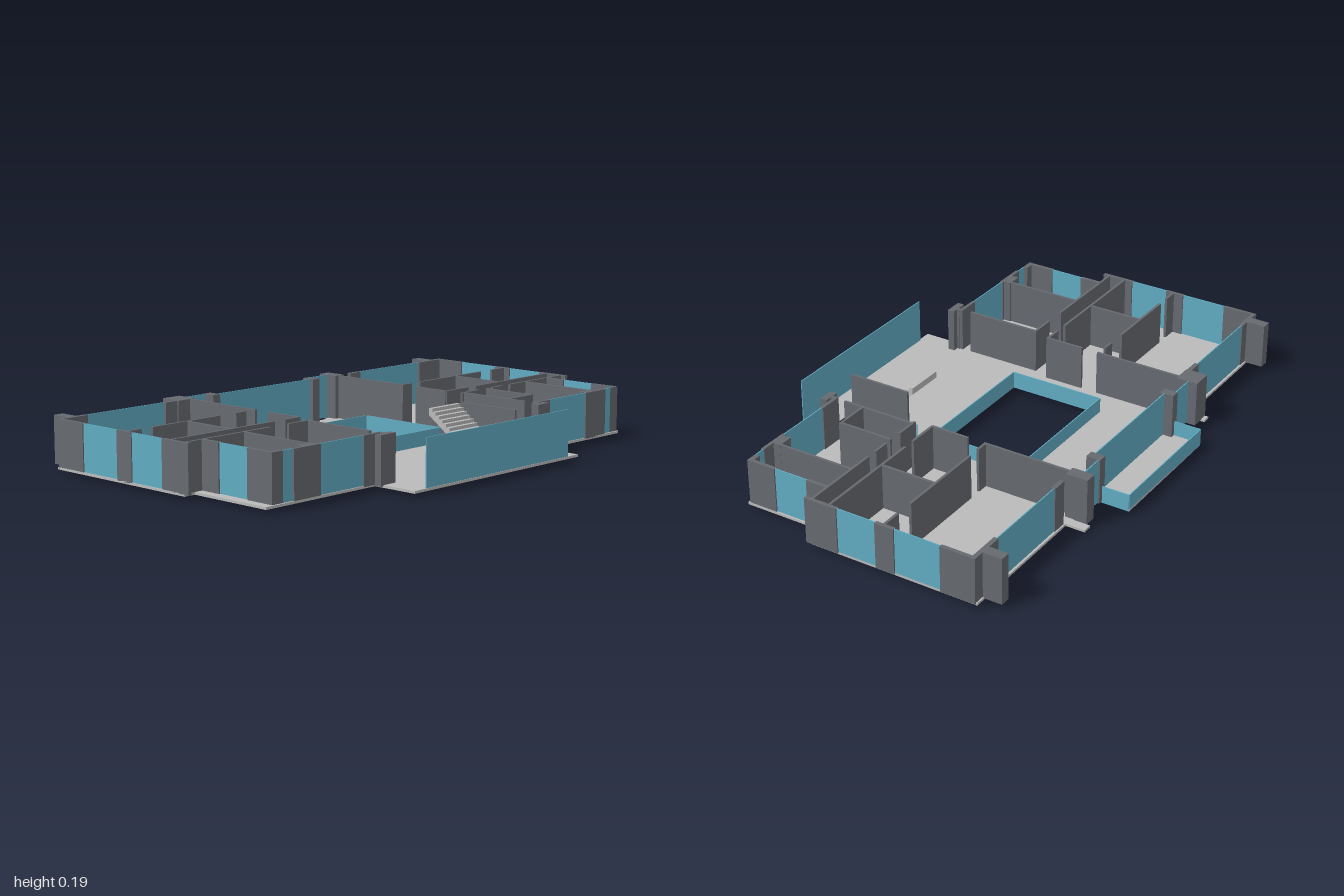
import * as THREE from 'three';

const FLOOR = 0.023, BASE = 0.014, TOP = 0.194, RAIL = 0.08;

function material(name, color) {
  const m = new THREE.MeshStandardMaterial({ color });
  m.name = name;
  return m;
}

export function createModel() {
  const model = new THREE.Group();
  model.name = 'floorPlan';
  const wallMat = material('wallGrey', 0x666a70);
  const glassMat = material('glassBlue', 0x61acc3);
  const slabMat = material('slabGrey', 0xbababa);

  const group = (name) => {
    const g = new THREE.Group();
    g.name = name;
    model.add(g);
    return g;
  };
  const box = (parent, name, mat, x0, x1, z0, z1, y0, y1) => {
    const mesh = new THREE.Mesh(new THREE.BoxGeometry(x1 - x0, y1 - y0, z1 - z0), mat);
    mesh.position.set((x0 + x1) / 2, (y0 + y1) / 2, (z0 + z1) / 2);
    mesh.name = name;
    parent.add(mesh);
  };

  // Floor slab with atrium and stairwell openings
  const points = (list) => list.map(([x, z]) => new THREE.Vector2(x, -z));
  const slabShape = new THREE.Shape(points([
    [-1, -0.525], [-0.46, -0.525], [-0.46, -0.6], [-0.43, -0.6], [-0.43, -0.535], [-0.35, -0.535],
    [-0.35, -0.52], [-0.275, -0.52], [-0.275, -0.663], [0.25, -0.663], [0.25, -0.52], [0.335, -0.52],
    [0.335, -0.535], [0.41, -0.535], [0.41, -0.6], [0.445, -0.6], [0.445, -0.525], [0.995, -0.525],
    [0.995, 0.135], [0.912, 0.135], [0.912, 0.472], [0.427, 0.472], [0.427, 0.65], [-0.45, 0.65],
    [-0.45, 0.472], [-0.955, 0.472], [-0.955, 0.135], [-1, 0.135],
  ]));
  const rect = (x0, x1, z0, z1) => new THREE.Path(points([[x0, z0], [x1, z0], [x1, z1], [x0, z1]]));
  slabShape.holes.push(rect(-0.278, 0.262, -0.24, 0.137), rect(0.245, 0.375, 0.222, 0.535));
  const slabGeo = new THREE.ExtrudeGeometry(slabShape, { depth: FLOOR - BASE, bevelEnabled: false });
  slabGeo.rotateX(-Math.PI / 2).translate(0, BASE, 0);
  const slab = new THREE.Mesh(slabGeo, slabMat);
  slab.name = 'floorSlab';
  model.add(slab);

  // Outer walls, piers and columns: x0, x1, z0, z1
  const outer = group('outerWalls');
  [
    // right wing
    [-1, -0.88, -0.52, -0.503], [-0.52, -0.465, -0.52, -0.503], [-0.96, -0.92, -0.593, -0.52],
    [-0.462, -0.382, -0.585, -0.5], [-1, -0.987, -0.503, -0.385], [-1, -0.987, -0.205, -0.13],
    [-1, -0.987, 0.025, 0.155], [-0.922, -0.907, 0.13, 0.215], [-0.922, -0.907, 0.35, 0.465],
    [-0.907, -0.873, 0.446, 0.465], [-0.83, -0.708, 0.459, 0.472], [-0.778, -0.717, 0.43, 0.459],
    [-0.505, -0.415, 0.459, 0.472], [-0.427, -0.412, 0.472, 0.485], [-0.462, -0.39, 0.483, 0.51],
    // left wing
    [0.86, 1, -0.52, -0.503], [0.45, 0.508, -0.52, -0.503], [0.915, 0.955, -0.593, -0.52],
    [0.36, 0.407, -0.585, -0.5], [0.985, 1, -0.503, -0.385], [0.985, 1, -0.205, -0.13],
    [0.985, 1, 0.025, 0.155], [0.895, 0.91, 0.13, 0.215], [0.895, 0.91, 0.35, 0.465],
    [0.865, 0.895, 0.446, 0.465], [0.705, 0.825, 0.459, 0.472], [0.713, 0.773, 0.43, 0.459],
    [0.395, 0.487, 0.459, 0.472], [0.395, 0.41, 0.472, 0.485], [0.373, 0.435, 0.483, 0.51],
    // balcony door columns
    [-0.29, -0.255, -0.555, -0.5], [0.235, 0.27, -0.555, -0.5],
  ].forEach((w) => box(outer, 'outerWall', wallMat, ...w, FLOOR - 0.004, TOP));

  // Partitions running across (x0, x1, z) and front to back (x, z0, z1)
  const inner = group('partitions');
  const T = 0.005;
  [
    [-1, -0.93, -0.161], [-0.88, -0.57, -0.161], [-0.495, -0.445, -0.161],
    [0.38, 0.43, -0.161], [0.48, 0.84, -0.161], [0.91, 1, -0.161],
    [-0.99, -0.52, 0.06], [-0.47, -0.395, 0.06], [0.38, 0.505, 0.06], [0.55, 0.99, 0.06],
    [-0.99, -0.605, 0.13], [-0.52, -0.418, 0.13], [0.39, 0.485, 0.13], [0.565, 0.63, 0.13],
    [0.67, 0.99, 0.13], [0.4, 0.54, 0.345],
  ].forEach(([x0, x1, z]) => box(inner, 'crossPartition', wallMat, x0, x1, z - T, z + T, FLOOR, TOP));
  [
    [-0.4, -0.5, -0.156], [-0.4, -0.09, 0.06], [-0.72, -0.161, 0.055],
    [0.382, -0.5, -0.156], [0.382, -0.09, 0.06], [0.69, -0.161, 0.055],
    [-0.727, 0.13, 0.435], [-0.424, 0.13, 0.425], [0.403, 0.13, 0.425],
    [0.535, 0.13, 0.345], [0.767, 0.13, 0.435], [0.23, 0.27, 0.52],
  ].forEach(([x, z0, z1]) => box(inner, 'longPartition', wallMat, x - T, x + T, z0, z1, FLOOR, TOP));

  // Full-height glazing and low glass rails
  const G = 0.002;
  const glassX = (g, name, x0, x1, z, y0, y1) => box(g, name, glassMat, x0, x1, z - G, z + G, y0, y1);
  const glassZ = (g, name, x, z0, z1, y0, y1) => box(g, name, glassMat, x - G, x + G, z0, z1, y0, y1);
  const glazing = group('glazing');
  [
    [-0.88, -0.52, -0.514], [0.508, 0.86, -0.514], [-0.255, 0.235, -0.517],
    [-0.382, -0.29, -0.548], [0.27, 0.36, -0.548], [-0.39, 0.37, 0.646],
    [-0.873, -0.83, 0.463], [-0.708, -0.505, 0.466], [0.825, 0.865, 0.463], [0.487, 0.705, 0.466],
  ].forEach(([x0, x1, z]) => glassX(glazing, 'windowPane', x0, x1, z, FLOOR, TOP));
  [-0.994, 0.993].forEach((x) => {
    glassZ(glazing, 'sideWindow', x, -0.385, -0.205, FLOOR, TOP);
    glassZ(glazing, 'sideWindow', x, -0.13, 0.025, FLOOR, TOP);
  });
  [-0.915, 0.903].forEach((x) => glassZ(glazing, 'sideWindow', x, 0.215, 0.35, FLOOR, TOP));

  const rails = group('glassRails');
  [-0.24, 0.137].forEach((z) => glassX(rails, 'atriumRail', -0.278, 0.262, z, BASE, RAIL));
  [-0.278, 0.262].forEach((x) => glassZ(rails, 'atriumRail', x, -0.24, 0.137, BASE, RAIL));
  glassX(rails, 'balconyRail', -0.275, 0.25, -0.661, BASE, RAIL);
  [-0.275, 0.25].forEach((x) => glassZ(rails, 'balconyRail', x, -0.661, -0.52, BASE, RAIL));
  glassZ(rails, 'stairwellRail', 0.245, 0.222, 0.545, BASE, RAIL);

  // Open staircase climbing towards the back
  const STEPS = 16, run = 0.26 / STEPS, rise = TOP / STEPS;
  const profile = [new THREE.Vector2(-0.53, 0)];
  for (let i = 0; i < STEPS; i++) {
    profile.push(new THREE.Vector2(-0.53 + i * run, (i + 1) * rise));
    profile.push(new THREE.Vector2(-0.53 + (i + 1) * run, (i + 1) * rise));
  }
  profile.push(new THREE.Vector2(-0.27, TOP - 0.025), new THREE.Vector2(-0.51, 0));
  const stairGeo = new THREE.ExtrudeGeometry(new THREE.Shape(profile), { depth: 0.153, bevelEnabled: false });
  stairGeo.rotateY(Math.PI / 2).translate(0.047, 0, 0);
  const stairs = new THREE.Mesh(stairGeo, slabMat);
  stairs.name = 'staircase';
  model.add(stairs);

  return model;
}
